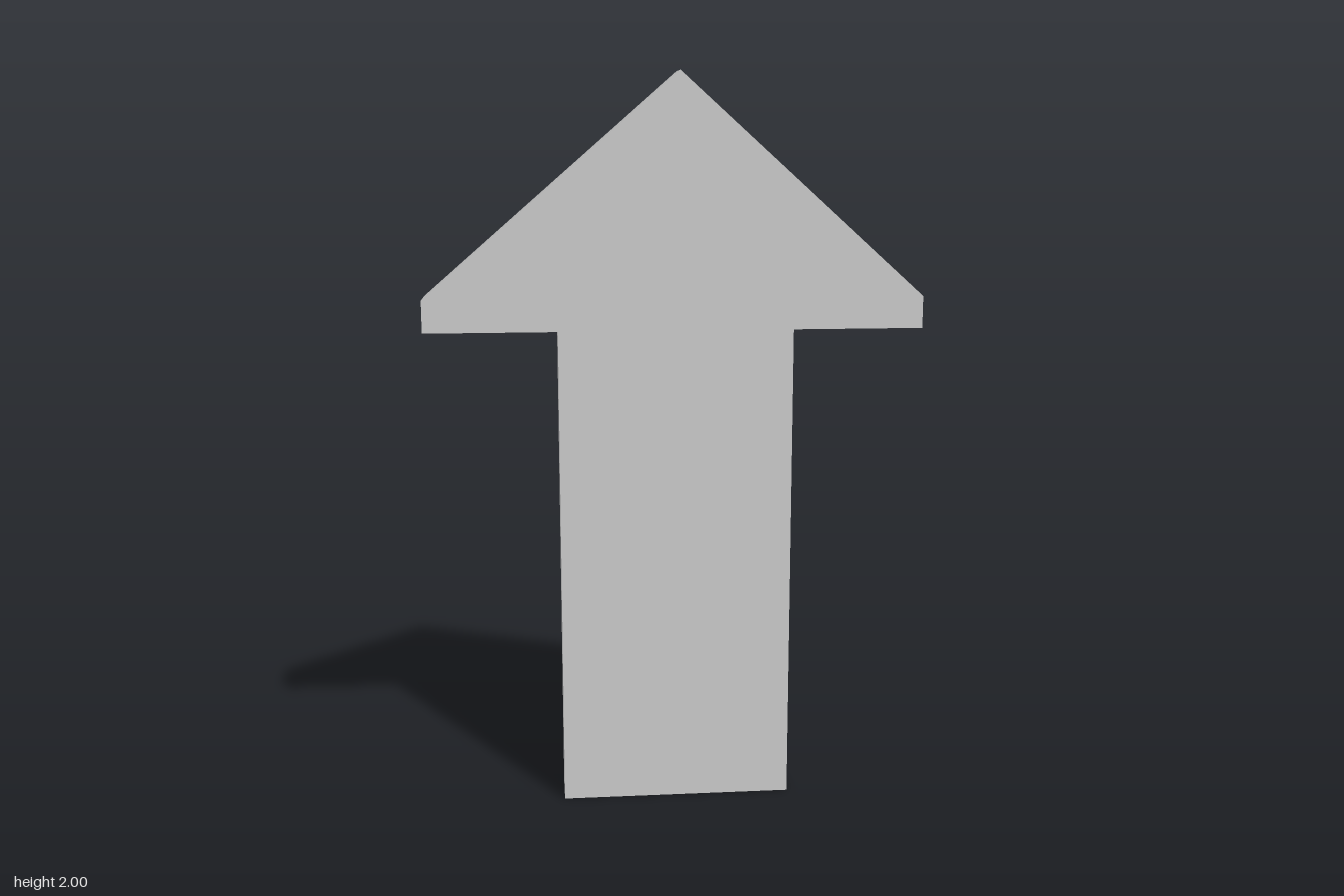
import * as THREE from 'three';

export function createModel() {
  const group = new THREE.Group();
  const depth = 0.122;

  // Arrow outline, counter-clockwise from the foot of the shaft
  const outline = [
    [-0.314, 0], [0.318, 0], [0.318, 1.324], [0.67, 1.324], [0.67, 1.41],
    [0.012, 2], [-0.67, 1.41], [-0.67, 1.324], [-0.314, 1.324],
  ].map(([x, y]) => new THREE.Vector2(x, y));

  // Flat plate, centred on z = 0
  const geometry = new THREE.ExtrudeGeometry(new THREE.Shape(outline), { depth, bevelEnabled: false });
  geometry.translate(0, 0, -depth / 2);

  const arrow = new THREE.Mesh(
    geometry,
    new THREE.MeshStandardMaterial({ color: 0xcccccc, flatShading: true }),
  );
  arrow.name = 'arrow';
  group.add(arrow);
  return group;
}
